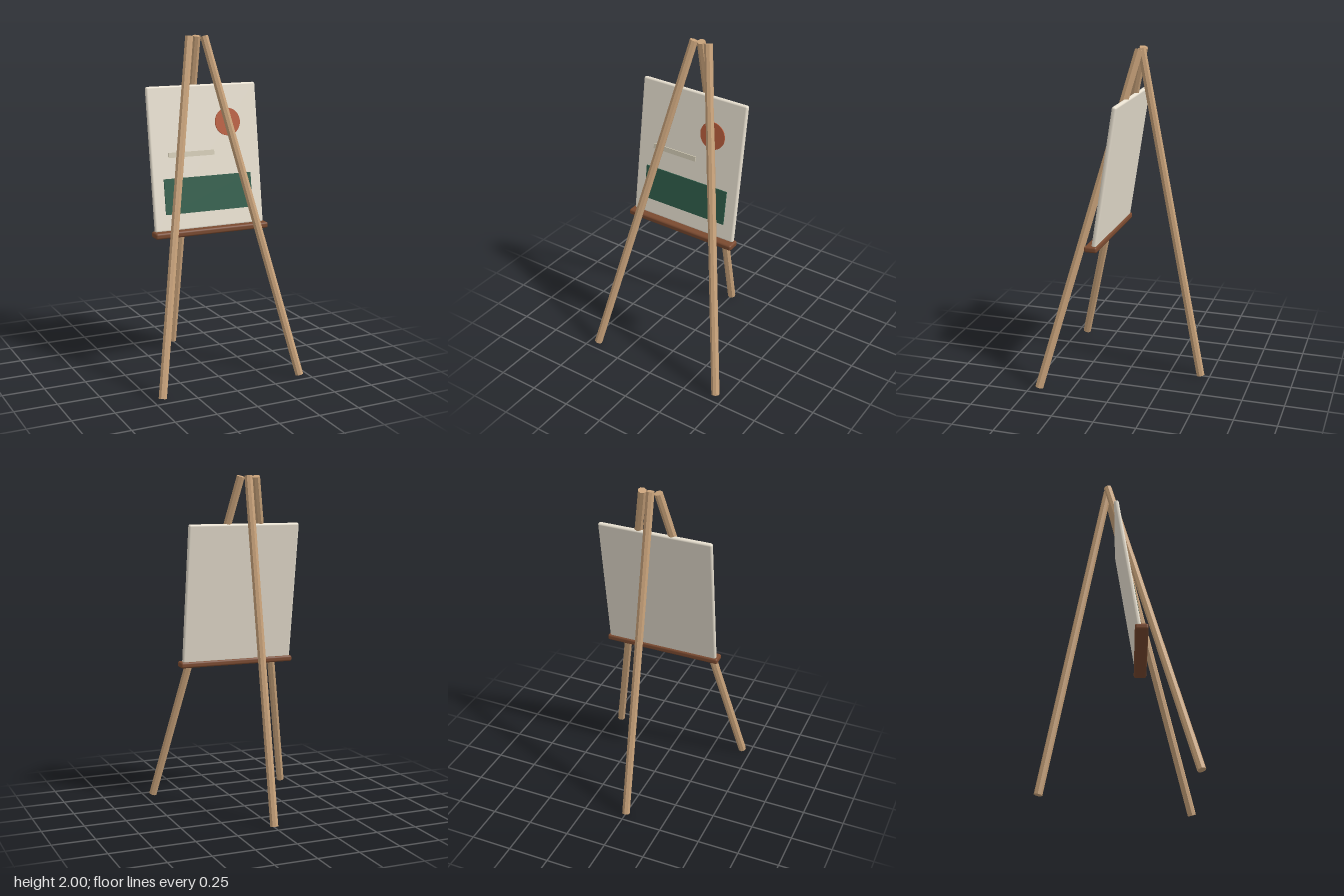
import * as THREE from 'three';
import { RoundedBoxGeometry } from 'three/addons/geometries/RoundedBoxGeometry.js';

const paint = (color, flatShading = false) => new THREE.MeshStandardMaterial({ color, flatShading });

function addMesh(parent, name, geometry, material, x = 0, y = 0, z = 0) {
  const mesh = new THREE.Mesh(geometry, material);
  mesh.name = name;
  mesh.position.set(x, y, z);
  parent.add(mesh);
  return mesh;
}

// Octagonal pole running between two points
function addLeg(parent, name, top, foot, material) {
  const axis = top.clone().sub(foot);
  const leg = addMesh(parent, name, new THREE.CylinderGeometry(0.025, 0.025, axis.length(), 8), material);
  leg.position.copy(top).add(foot).multiplyScalar(0.5);
  leg.quaternion.setFromUnitVectors(new THREE.Vector3(0, 1, 0), axis.normalize());
}

export function createModel() {
  const easel = new THREE.Group();
  easel.name = 'easel';
  const wood = paint(0xc8a27a, true);

  // Tripod
  for (const [side, name] of [[1, 'leftLeg'], [-1, 'rightLeg']]) {
    addLeg(easel, name, new THREE.Vector3(side * 0.048, 1.9925, -0.06),
      new THREE.Vector3(side * 0.443, 0.0075, 0.443), wood);
  }
  addLeg(easel, 'backLeg', new THREE.Vector3(0, 1.995, -0.06), new THREE.Vector3(0, 0.005, -0.443), wood);

  // Tray
  addMesh(easel, 'tray', new RoundedBoxGeometry(0.726, 0.036, 0.078, 3, 0.012), paint(0x7a4a30), 0, 0.877, 0.14);

  // Leaning canvas, with the painted shapes slightly raised from its face
  const board = new THREE.Group();
  board.name = 'painting';
  board.position.set(0, 1.303, 0.06);
  board.rotation.x = -0.155;
  easel.add(board);
  addMesh(board, 'canvas', new RoundedBoxGeometry(0.7, 0.84, 0.028, 3, 0.012), paint(0xe8e0d0));
  addMesh(board, 'field', new THREE.BoxGeometry(0.56, 0.207, 0.006), paint(0x2f5d4a), 0, -0.218, 0.018);
  addMesh(board, 'stripe', new THREE.BoxGeometry(0.292, 0.03, 0.006), paint(0xd2cab4), -0.095, 0.02, 0.017);
  const sun = addMesh(board, 'sun', new THREE.CylinderGeometry(0.081, 0.081, 0.006, 32), paint(0xb85c3c), 0.15, 0.193, 0.018);
  sun.rotation.x = Math.PI / 2;

  return easel;
}
